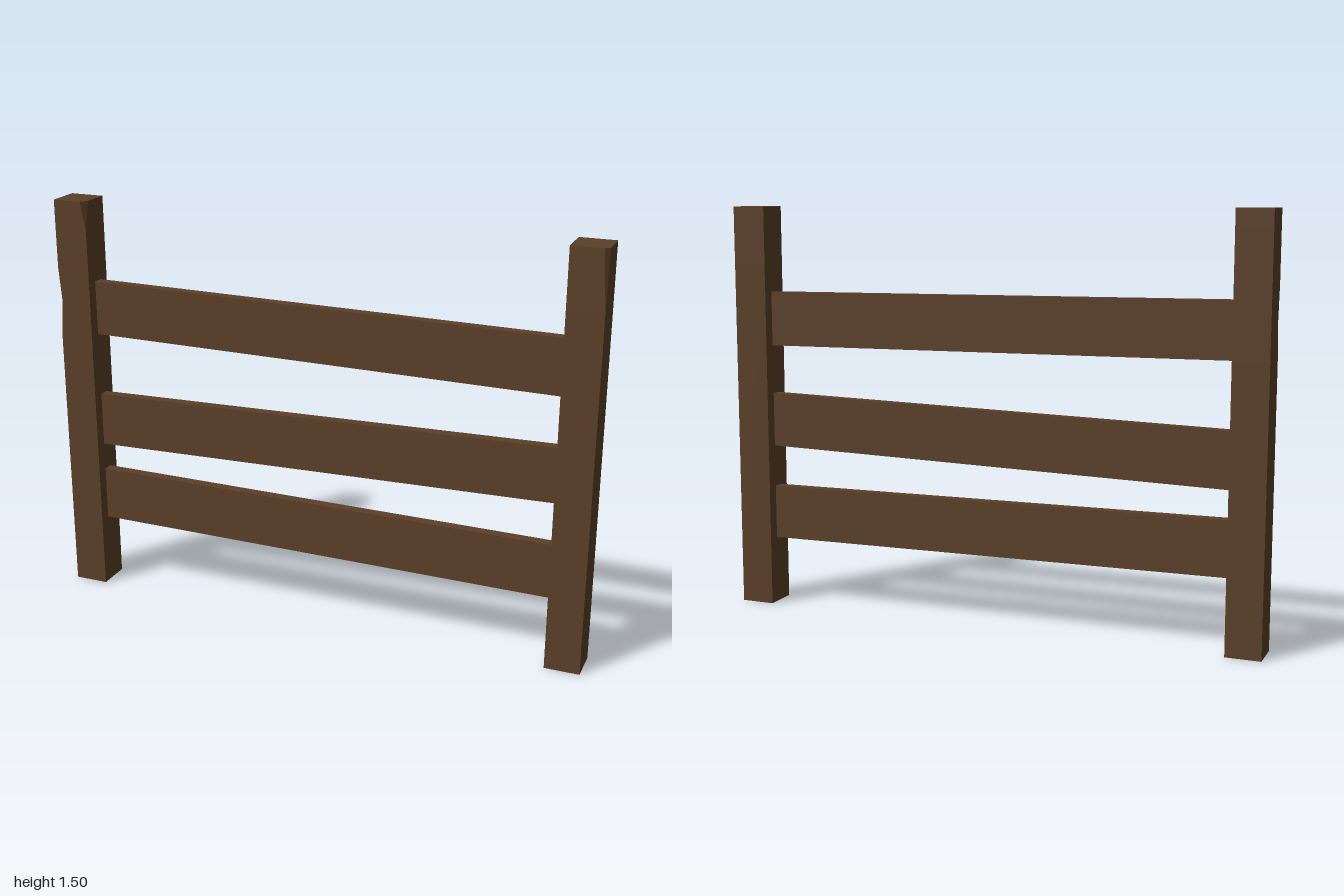
import * as THREE from 'three';

const wood = new THREE.MeshStandardMaterial({ color: 0x5c4029, flatShading: true });
const POST = 0.063; // half width of a post

// Square post lofted from rings; each level is
// [y, left cut x, left cut z, right cut x, right cut z] for the two front edges (-x and +x side).
function postGeometry(levels) {
  const w = POST;
  const rings = levels.map(([y, ax, az, bx, bz]) => [
    [-w, w - az], [-w + ax, w], [w - bx, w], [w, w - bz], [w, -w], [-w, -w],
  ].map(([x, z]) => new THREE.Vector3(x, y, z)));
  const pos = [];
  const tri = (a, b, c) => {
    if (new THREE.Triangle(a, b, c).getArea() < 1e-7) return; // unchipped edges collapse
    for (const v of [a, b, c]) pos.push(v.x, v.y, v.z);
  };
  for (let i = 0; i < rings.length - 1; i++) {
    const lo = rings[i], hi = rings[i + 1];
    for (let j = 0; j < 6; j++) {
      const k = (j + 1) % 6;
      tri(lo[j], lo[k], hi[k]);
      tri(lo[j], hi[k], hi[j]);
    }
  }
  const bottom = rings[0], top = rings[rings.length - 1];
  for (let j = 1; j < 5; j++) {
    tri(top[0], top[j], top[j + 1]);
    tri(bottom[0], bottom[j + 1], bottom[j]);
  }
  const g = new THREE.BufferGeometry();
  g.setAttribute('position', new THREE.Float32BufferAttribute(pos, 3));
  g.computeVertexNormals();
  return g;
}

// Slanted board between the posts: the right-hand end is shifted vertically.
function railGeometry(yStart, yEnd) {
  const g = new THREE.BoxGeometry(1.76, 0.2, 0.038);
  const p = g.attributes.position;
  for (let i = 0; i < p.count; i++) p.setY(i, p.getY(i) + (p.getX(i) < 0 ? yStart : yEnd));
  g.computeVertexNormals();
  return g;
}

export function createModel() {
  const fence = new THREE.Group();
  fence.name = 'fence';
  const add = (name, geometry, x = 0) => {
    const mesh = new THREE.Mesh(geometry, wood);
    mesh.name = name;
    mesh.position.x = x;
    fence.add(mesh);
  };

  // Posts: the right one has a nick in its outer edge and a chipped top corner
  add('rightPost', postGeometry([
    [0, 0, 0, 0, 0],
    [1.0, 0, 0, 0, 0],
    [1.13, 0.014, 0.014, 0, 0],
    [1.25, 0, 0, 0, 0],
    [1.4, 0, 0, 0, 0],
    [1.44, 0, 0, 0.008, 0.011],
    [1.5, 0, 0, 0.019, 0.026],
  ]), -1 + POST);
  add('leftPost', postGeometry([
    [0, 0, 0, 0, 0],
    [1.29, 0, 0, 0, 0],
    [1.5, 0, 0, 0.016, 0.016],
  ]), 1 - POST);

  // Rails: centre heights at the -x and +x ends
  const rails = { topRail: [1.1, 1.085], middleRail: [0.665, 0.705], bottomRail: [0.363, 0.35] };
  for (const [name, [a, b]] of Object.entries(rails)) add(name, railGeometry(a, b));

  return fence;
}
